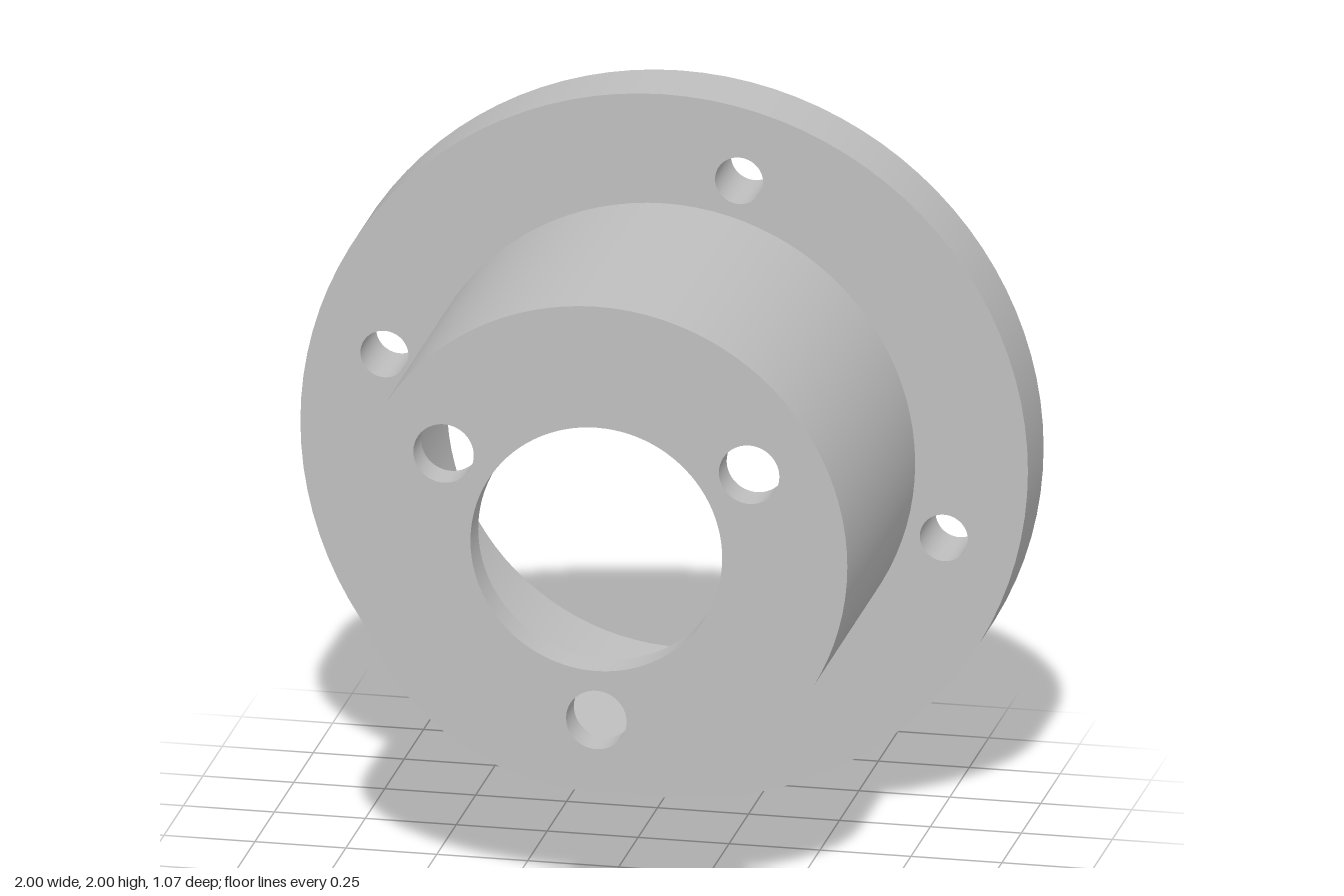
import * as THREE from 'three';

const SEG = 96;
const R = { flange: 1, hub: 0.69, bore: 0.64, opening: 0.346, bolt: 0.066, pin: 0.083 };
const Z = { back: -0.537, flange: -0.335, wall: 0.437, front: 0.537 };

// Evenly spaced hole centres on a pitch circle
const pattern = (count, pitch, start) => Array.from({ length: count }, (_, i) => {
  const a = THREE.MathUtils.degToRad(start + i * 360 / count);
  return [pitch * Math.cos(a), pitch * Math.sin(a)];
});
const bolts = pattern(4, 0.796, 75);
const pins = pattern(3, 0.485, 30);

export function createModel() {
  const model = new THREE.Group();
  model.name = 'flangedHub';
  const steel = new THREE.MeshStandardMaterial({ color: 0xbfbfbf });
  steel.name = 'steel grey';

  const add = (group, name, geometry) => {
    const mesh = new THREE.Mesh(geometry, steel);
    mesh.name = name;
    group.add(mesh);
    return mesh;
  };

  // Smooth round wall along z; inward walls line a hole
  const wall = (group, name, r, z0, z1, inward = false, [x, y] = [0, 0]) => {
    const points = [new THREE.Vector2(r, z0), new THREE.Vector2(r, z1)];
    if (inward) points.reverse();
    const geometry = new THREE.LatheGeometry(points, SEG).rotateX(Math.PI / 2);
    add(group, name, geometry.translate(x, y, 0));
  };

  // Flat ring with an optional set of small holes, facing front or back
  const face = (group, name, outer, inner, z, front, centres = [], r = 0) => {
    const side = front ? 1 : -1;
    const shape = new THREE.Shape().absarc(0, 0, outer, 0, Math.PI * 2);
    for (const [x, y, hr] of [[0, 0, inner], ...centres.map(([cx, cy]) => [cx * side, cy, r])])
      shape.holes.push(new THREE.Path().absarc(x, y, hr, 0, Math.PI * 2, true));
    const geometry = new THREE.ShapeGeometry(shape, SEG / 2);
    if (!front) geometry.rotateY(Math.PI);
    add(group, name, geometry.translate(0, 0, z));
  };

  // Mounting flange with four bolt holes
  const flange = new THREE.Group();
  flange.name = 'flange';
  wall(flange, 'flangeRim', R.flange, Z.back, Z.flange);
  face(flange, 'flangeFront', R.flange, R.hub, Z.flange, true, bolts, R.bolt);
  face(flange, 'flangeBack', R.flange, R.bore, Z.back, false, bolts, R.bolt);
  bolts.forEach(c => wall(flange, 'boltHole', R.bolt, Z.back, Z.flange, true, c));

  // Hollow hub barrel
  const hub = new THREE.Group();
  hub.name = 'hub';
  wall(hub, 'hubBarrel', R.hub, Z.flange, Z.front);
  wall(hub, 'hubBore', R.bore, Z.back, Z.wall, true);

  // End plate with central opening and three pin holes
  face(hub, 'endPlateFront', R.hub, R.opening, Z.front, true, pins, R.pin);
  face(hub, 'endPlateInside', R.bore, R.opening, Z.wall, false, pins, R.pin);
  wall(hub, 'centralOpening', R.opening, Z.wall, Z.front, true);
  pins.forEach(c => wall(hub, 'pinHole', R.pin, Z.wall, Z.front, true, c));

  model.add(flange, hub);
  model.position.y = 1;
  return model;
}
